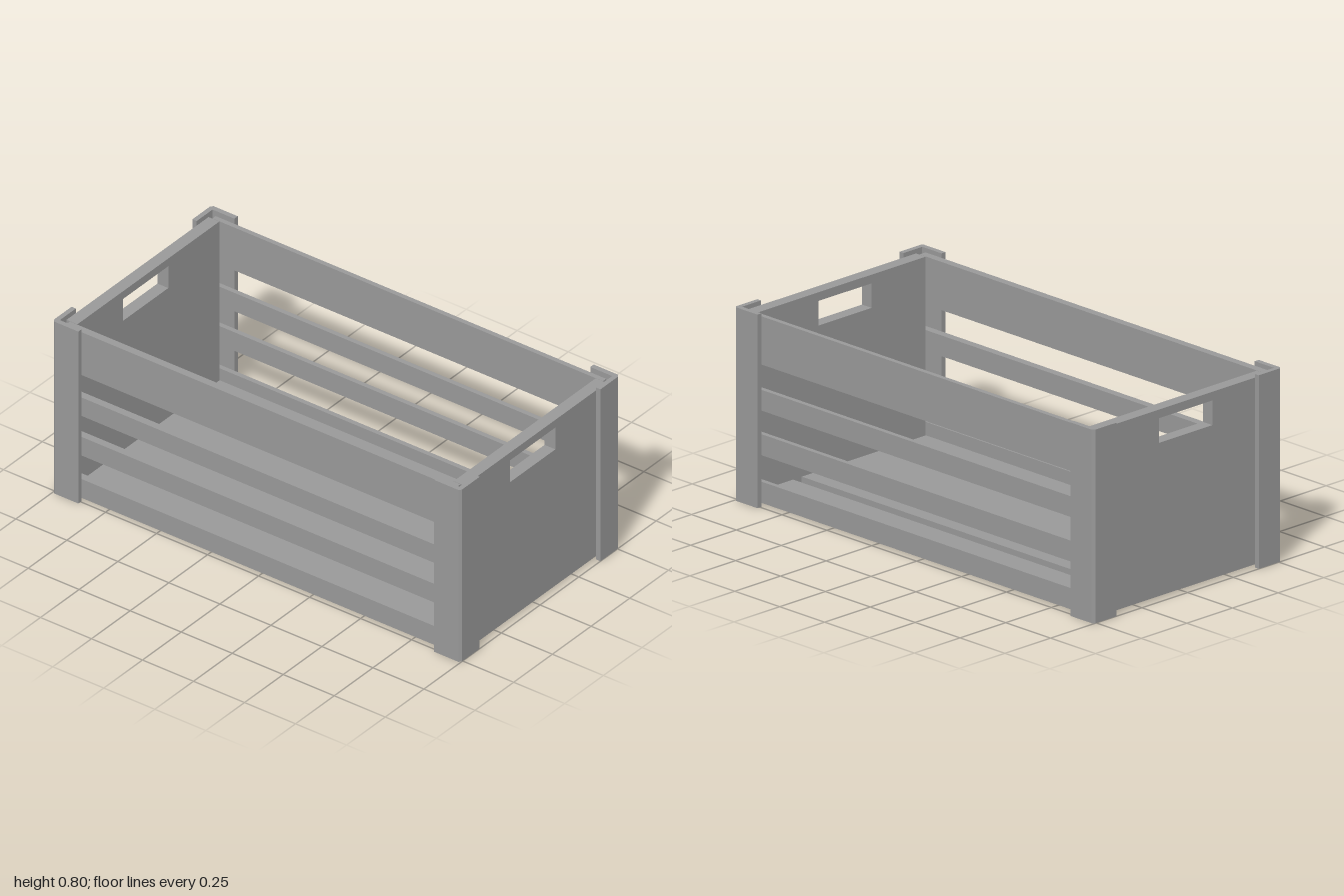
import * as THREE from 'three';

export function createModel() {
  const crate = new THREE.Group();
  crate.name = 'crate';
  const grey = new THREE.MeshStandardMaterial({ name: 'plain grey', color: 0x999999 });

  const add = (name, geometry) => {
    const mesh = new THREE.Mesh(geometry, grey);
    mesh.name = name;
    crate.add(mesh);
    return mesh;
  };
  // Box given by its limits on each axis
  const board = (name, x0, x1, y0, y1, z0, z1) => {
    const mesh = add(name, new THREE.BoxGeometry(x1 - x0, y1 - y0, z1 - z0));
    mesh.position.set((x0 + x1) / 2, (y0 + y1) / 2, (z0 + z1) / 2);
  };
  const outline = (Type, points) => new Type(points.map(([x, y]) => new THREE.Vector2(x, y)));

  // End panels with a hand hole
  const panel = outline(THREE.Shape, [[-0.455, 0.012], [0.462, 0.012], [0.462, 0.786], [-0.455, 0.786]]);
  panel.holes.push(outline(THREE.Path, [[-0.16, 0.648], [-0.16, 0.75], [0.132, 0.75], [0.132, 0.648]]));
  for (const [name, z] of [['frontPanel', 0.922], ['backPanel', -0.975]]) {
    add(name, new THREE.ExtrudeGeometry(panel, { depth: 0.053, bevelEnabled: false })).position.z = z;
  }

  // Side slats, the top one wide
  for (const [y0, y1] of [[0.012, 0.1], [0.21, 0.297], [0.395, 0.481], [0.586, 0.786]]) {
    board('leftSlat', 0.463, 0.484, y0, y1, -0.957, 0.957);
    board('rightSlat', -0.49, -0.457, y0, y1, -0.957, 0.957);
  }

  // Floor slats
  for (const [x0, x1] of [[-0.456, -0.277], [-0.228, -0.028], [0.022, 0.224], [0.272, 0.462]]) {
    board('floorSlat', x0, x1, 0.012, 0.045, -0.921, 0.921);
  }

  // Angle brackets on the four corners, with a slightly eased outer edge
  for (const sx of [-1, 1]) {
    for (const sz of [-1, 1]) {
      const points = [
        [0.39, 1], [0.505, 1], [0.515, 0.99], [0.515, 0.872],
        [0.493, 0.872], [0.493, 0.979], [0.39, 0.979],
      ].map(([x, z]) => [sx * x, -sz * z]);
      const bracket = add('cornerBracket', new THREE.ExtrudeGeometry(
        outline(THREE.Shape, points), { depth: 0.803, bevelEnabled: false }));
      bracket.rotation.x = -Math.PI / 2;
    }
  }
  return crate;
}
